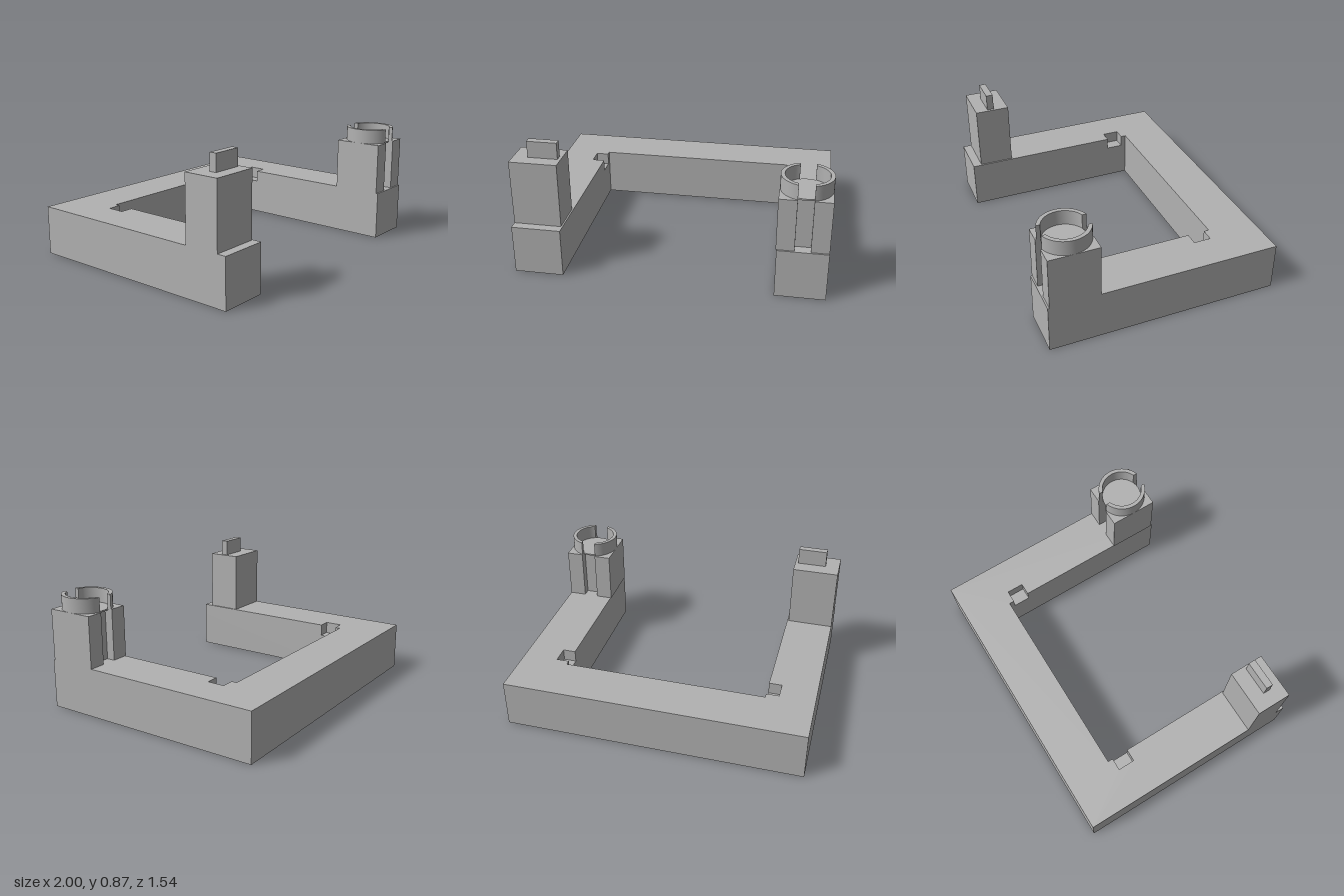
import * as THREE from 'three';
import { toCreasedNormals } from 'three/addons/utils/BufferGeometryUtils.js';

const grey = new THREE.MeshStandardMaterial({ color: 0xb2b2b2 });
grey.name = 'grey plastic';

// Upright prism from an outline given as [x, z] corners
function prism(name, points, y0, y1) {
  const shape = new THREE.Shape(points.map(([x, z]) => new THREE.Vector2(x, -z)));
  let geometry = new THREE.ExtrudeGeometry(shape, { depth: y1 - y0, bevelEnabled: false });
  geometry.rotateX(-Math.PI / 2).translate(0, y0, 0);
  geometry = toCreasedNormals(geometry, 0.5);
  const mesh = new THREE.Mesh(geometry, grey);
  mesh.name = name;
  return mesh;
}

function block(name, x0, x1, y0, y1, z0, z1) {
  const mesh = new THREE.Mesh(new THREE.BoxGeometry(x1 - x0, y1 - y0, z1 - z0), grey);
  mesh.position.set((x0 + x1) / 2, (y0 + y1) / 2, (z0 + z1) / 2);
  mesh.name = name;
  return mesh;
}

// Mirror half an outline across x = 0
const mirrored = (half) => [...half, ...half.map(([x, z]) => [-x, z]).reverse()];

export function createModel() {
  const model = new THREE.Group();
  model.name = 'bracket';
  const baseTop = 0.325, notchFloor = 0.245, inner = 0.68, back = -0.455, end = 0.77;

  // U-shaped base: plain lower layer, upper layer with notches in the inner walls
  const outer = [[1, -end], [1, end], [inner, end]];
  const notch = [[inner, -0.305], [0.765, -0.305], [0.765, -0.42], [inner, -0.42]];
  model.add(prism('baseLower', mirrored([...outer, [inner, back]]), 0, notchFloor));
  model.add(prism('baseUpper', mirrored([...outer, ...notch, [inner, back]]), notchFloor, baseTop));

  // Square post with a thin tab on the right arm
  model.add(block('tabPost', -1, -0.69, baseTop, 0.755, 0.475, 0.71));
  model.add(block('tab', -0.905, -0.71, 0.755, 0.865, 0.576, 0.623));

  // Socket post with a vertical slot in its front and back
  const cx = 0.8375, cz = 0.597, h = 0.1625, gap = 0.049, depth = 0.058, top = 0.67;
  const halfPost = [[h, -h], [h, h], [gap, h], [gap, h - depth]];
  const otherHalf = [[gap, depth - h], [gap, -h]];
  const postOutline = mirrored([...otherHalf, ...halfPost]).map(([x, z]) => [cx + x, cz + z]);
  model.add(prism('socketPost', postOutline, baseTop, top));

  // Thin floor of the socket, covering the inner part of the slots
  const rOut = 0.1625, rIn = 0.137;
  const floor = new THREE.Mesh(new THREE.CylinderGeometry(rIn, rIn, 0.01, 64), grey);
  floor.position.set(cx, top - 0.005, cz);
  floor.name = 'socketFloor';
  model.add(floor);

  // Two curved socket walls with parallel-sided gaps between them
  const arc = (r, side) => {
    const a = Math.acos(gap / r);
    return Array.from({ length: 33 }, (_, i) => {
      const t = -a + (2 * a * i) / 32;
      return [cx + side * r * Math.cos(t), cz + r * Math.sin(t)];
    });
  };
  for (const side of [-1, 1]) {
    const outline = [...arc(rOut, side), ...arc(rIn, side).reverse()];
    model.add(prism(side > 0 ? 'socketWallLeft' : 'socketWallRight', outline, top, 0.767));
  }
  return model;
}
